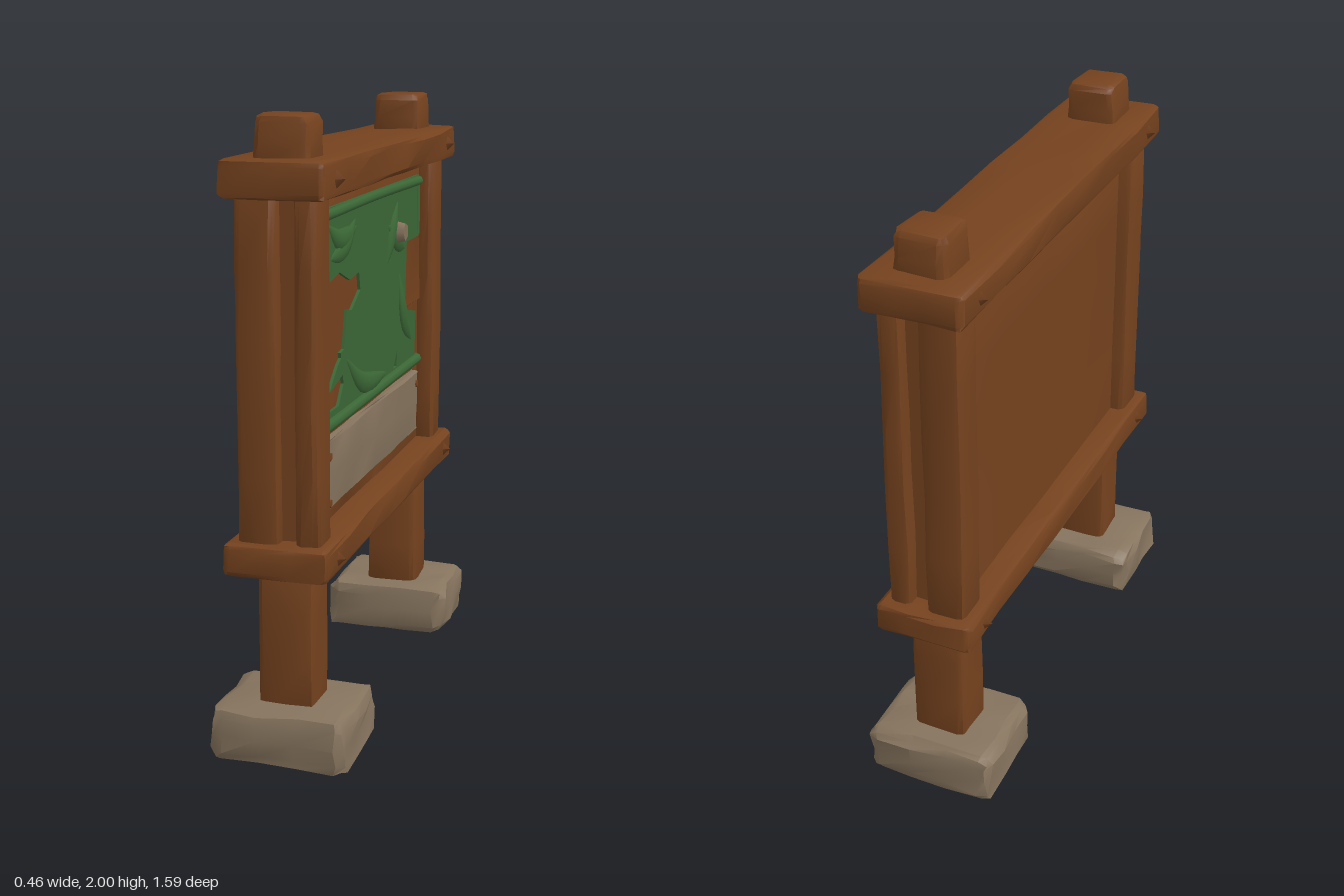
import * as THREE from 'three';
import { toCreasedNormals, mergeVertices } from 'three/addons/utils/BufferGeometryUtils.js';

const wood = new THREE.MeshStandardMaterial({ color: 0x75421e });
wood.name = 'brown wood';
const stone = new THREE.MeshStandardMaterial({ color: 0x85735d });
stone.name = 'tan stone';
const cloth = new THREE.MeshStandardMaterial({ color: 0x3b6736, side: THREE.DoubleSide });
cloth.name = 'green cloth';

// Repeatable noise in -1..1 from a position
function noise(x, y, z, seed) {
  const s = Math.sin(x * 91.7 + y * 47.3 + z * 73.1 + seed * 12.9) * 43758.5;
  return (s - Math.floor(s)) * 2 - 1;
}

// Hand-hewn block: a box with chamfered edges and slightly uneven faces
function hewnBox(size, segs, { bevel = 0.02, rough = 0.005, taper = 0, seed = 1 } = {}) {
  const geo = new THREE.BoxGeometry(1, 1, 1, ...segs);
  const p = geo.attributes.position;
  for (let i = 0; i < p.count; i++) {
    const unit = [p.getX(i), p.getY(i), p.getZ(i)];
    const outer = unit.map((u) => Math.abs(u) > 0.499);
    const edge = outer.filter(Boolean).length;
    const cut = edge === 3 ? bevel * 0.42 : edge === 2 ? bevel * 0.3 : 0;
    const v = unit.map((u, a) => {
      const half = size[a] / 2;
      if (outer[a]) return Math.sign(u) * (half - cut);
      // spread the inner grid lines so that the outermost ones border the chamfer
      return (u / (0.5 - 1 / segs[a])) * (half - bevel);
    });
    const k = 1 - taper * (unit[1] + 0.5);
    const q = unit.map((u) => Math.round(u * 1000) / 1000);
    p.setXYZ(i,
      v[0] * k + noise(q[0], q[1], q[2], seed) * rough,
      v[1] + noise(q[0], q[1], q[2], seed + 5) * rough * 0.7,
      v[2] * k + noise(q[0], q[1], q[2], seed + 9) * rough);
  }
  return toCreasedNormals(geo, 0.6);
}

export function createModel() {
  const model = new THREE.Group();
  const add = (name, geo, mat, x = 0, y = 0, z = 0) => {
    const mesh = new THREE.Mesh(geo, mat);
    mesh.name = name;
    mesh.position.set(x, y, z);
    model.add(mesh);
    return mesh;
  };

  // Supports, repeated at both ends
  for (const s of [1, -1]) {
    const end = s > 0 ? 'front' : 'back';
    add(end + 'Foot', hewnBox([0.44, 0.18, 0.35], [5, 4, 5],
      { bevel: 0.035, rough: 0.009, seed: 3 + s }), stone, 0, 0.093, s * 0.613);
    add(end + 'Leg', hewnBox([0.18, 0.54, 0.168], [3, 5, 3], { rough: 0.003, seed: 6 + s }),
      wood, 0, 0.4, s * 0.612);
    add(end + 'PostCap', hewnBox([0.18, 0.17, 0.178], [3, 4, 3],
      { bevel: 0.026, rough: 0.004, taper: 0.1, seed: 9 + s }), wood, 0.004, 1.913, s * 0.63);

    // Two side planks with the post set back between them
    add(end + 'RearPlank', hewnBox([0.13, 1.08, 0.135], [3, 7, 3],
      { rough: 0.003, seed: 12 + s }), wood, -0.065, 1.24, s * 0.685);
    add(end + 'FacePlank', hewnBox([0.075, 1.08, 0.135], [3, 7, 3],
      { rough: 0.003, seed: 15 + s }), wood, 0.092, 1.24, s * 0.685);
    add(end + 'InnerPost', new THREE.BoxGeometry(0.08, 1.08, 0.09), wood, 0.025, 1.24, s * 0.66);
  }

  // Lower and upper cross beams, with flat wedges driven into the ends
  for (const [name, y, h] of [['lowerBeam', 0.67, 0.105], ['upperBeam', 1.815, 0.115]]) {
    add(name, hewnBox([0.33, h, 1.58], [5, 3, 9], { bevel: 0.019, rough: 0.004, seed: y * 10 }),
      wood, 0, y, 0);
    for (const side of [1, -1]) {
      for (const end of [1, -1]) {
        const wedge = add(name + 'Wedge', new THREE.ConeGeometry(0.05, 0.05, 4), wood,
          side * 0.165, y, end * 0.67);
        wedge.rotation.z = -side * Math.PI / 2;
        wedge.scale.z = 0.6;
      }
    }
  }

  // Backing panel and the board bared by the tear
  add('panel', hewnBox([0.15, 1.08, 1.26], [3, 6, 6], { bevel: 0.01, rough: 0.003, seed: 21 }),
    wood, -0.005, 1.24, 0);
  add('baredBoard', hewnBox([0.03, 0.24, 0.2], [3, 3, 3], { bevel: 0.006, rough: 0.003, seed: 27 }),
    wood, 0.067, 1.37, -0.5);

  // Bare notice strip under the cloth, pinned at its corners
  add('noticeStrip', hewnBox([0.03, 0.225, 1.09], [3, 4, 8], { bevel: 0.008, rough: 0.004, seed: 24 }),
    stone, 0.077, 0.885, 0);
  for (const [y, z] of [[0.945, 0.525], [0.795, 0.525], [0.95, -0.525]]) {
    const pin = add('noticePin', new THREE.CylinderGeometry(0.014, 0.018, 0.02, 5), wood, 0.088, y, z);
    pin.rotation.z = -Math.PI / 2;
  }

  // Torn cloth, drawn flat and turned towards +x
  const toShape = (points) => new THREE.Shape(points.map(([u, y]) => new THREE.Vector2(u, y)));
  const addSheet = (name, shape) => {
    const geo = new THREE.ExtrudeGeometry(shape, { depth: 0.01, bevelEnabled: false });
    add(name, geo, cloth, 0.077).rotation.y = Math.PI / 2;
  };
  const sheet = toShape([
    [-0.56, 1.02], [0.55, 1.02], [0.52, 1.06], [0.53, 1.22], [0.38, 1.25], [0.40, 1.49],
    [0.56, 1.49], [0.56, 1.71], [-0.56, 1.71], [-0.56, 1.25], [-0.53, 1.26], [-0.53, 1.48],
    [-0.40, 1.50], [-0.29, 1.46], [-0.19, 1.47], [-0.175, 1.41], [-0.27, 1.36], [-0.32, 1.37],
    [-0.35, 1.25], [-0.39, 1.245], [-0.36, 1.14], [-0.41, 1.08], [-0.52, 1.08], [-0.56, 1.05],
  ]);
  sheet.holes.push(toShape([[0.23, 1.065], [0.275, 1.065], [0.275, 1.12]]));
  addSheet('tornCloth', sheet);
  addSheet('clothScrap', toShape([[-0.51, 1.14], [-0.37, 1.17], [-0.36, 1.24], [-0.42, 1.21]]));

  // Rolled hems and soft folds: flattened ridges along short paths, folds thinning at the ends
  function ridge(name, points, radius, flat, thinning) {
    const curve = new THREE.CatmullRomCurve3(points.map(([u, y]) => new THREE.Vector3(0, y, -u)));
    const rings = 10, sides = 8;
    let geo = new THREE.TubeGeometry(curve, rings, radius, sides);
    const p = geo.attributes.position;
    const v = new THREE.Vector3();
    for (let i = 0; i < p.count; i++) {
      const t = Math.floor(i / (sides + 1)) / rings;
      const thin = thinning * (1 - Math.sin(Math.PI * t));
      v.fromBufferAttribute(p, i).lerp(curve.getPointAt(t), thin);
      p.setXYZ(i, v.x * flat, v.y, v.z);
    }
    geo.deleteAttribute('uv');
    geo.deleteAttribute('normal');
    geo = mergeVertices(geo);
    geo.computeVertexNormals();
    add(name, geo, cloth, 0.085, 0, 0);
  }
  ridge('topHem', [[-0.56, 1.69], [0, 1.695], [0.56, 1.69]], 0.018, 1, 0);
  ridge('bottomHem', [[-0.56, 1.04], [0, 1.04], [0.55, 1.04]], 0.02, 1, 0);
  ridge('leftHem', [[-0.55, 1.69], [-0.545, 1.5], [-0.545, 1.27]], 0.012, 0.8, 0);
  ridge('rightHem', [[0.55, 1.69], [0.55, 1.6], [0.55, 1.5]], 0.012, 0.8, 0);
  const folds = [
    [[-0.52, 1.66], [-0.4, 1.6], [-0.21, 1.62]],
    [[-0.5, 1.55], [-0.36, 1.57], [-0.22, 1.65]],
    [[0.14, 1.44], [0.2, 1.54], [0.28, 1.65]],
    [[0.15, 1.58], [0.27, 1.51], [0.38, 1.47]],
    [[-0.34, 1.22], [-0.15, 1.1], [0.15, 1.07]],
    [[0.3, 1.4], [0.36, 1.22], [0.48, 1.12]],
  ];
  folds.forEach((f) => ridge('clothFold', f, 0.038, 0.45, 0.95));

  // Stone stud holding the cloth
  const stud = add('stud', new THREE.CylinderGeometry(0.032, 0.042, 0.04, 5), stone, 0.105, 1.545, -0.245);
  stud.rotation.z = -Math.PI / 2;

  return model;
}
